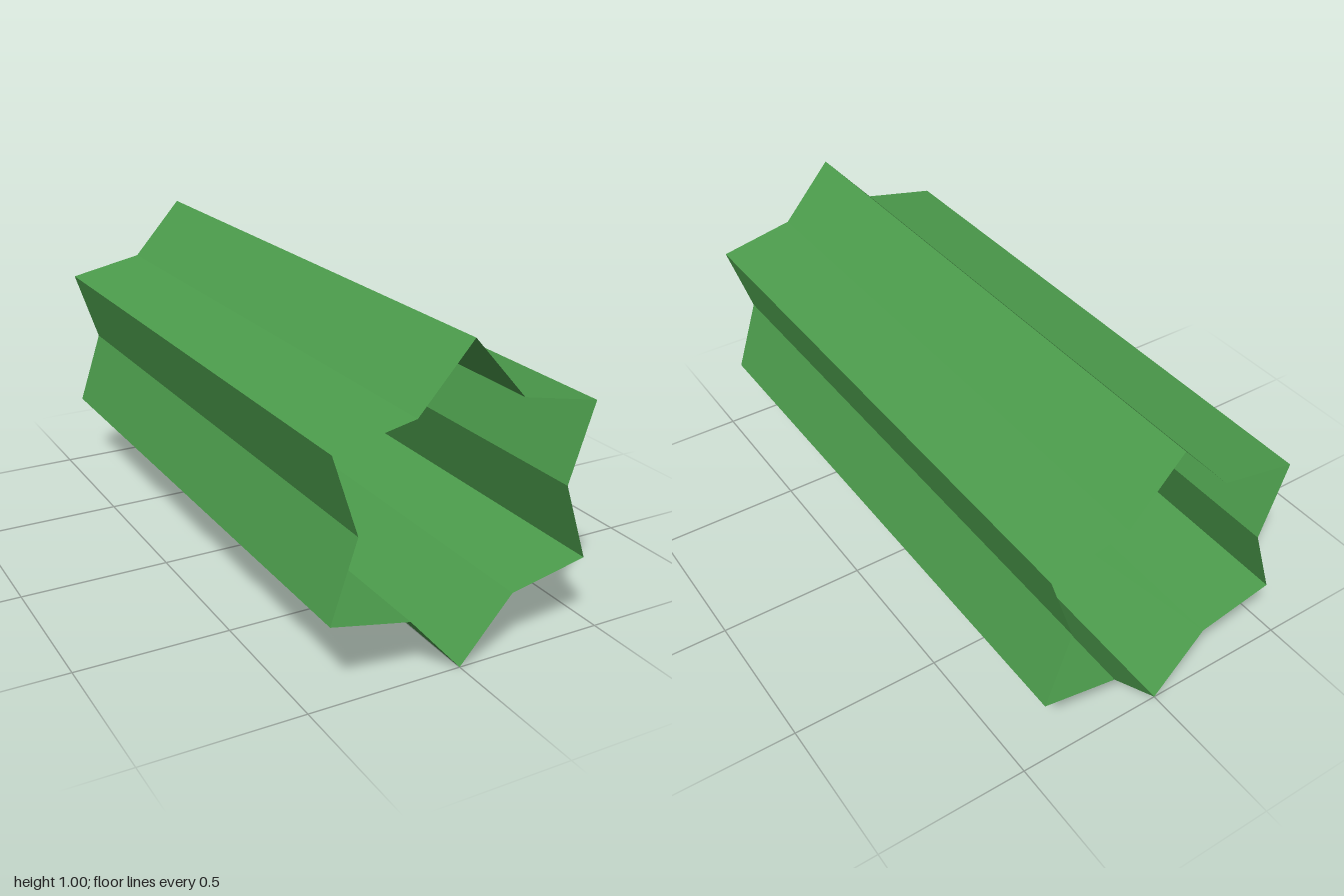
import * as THREE from 'three';

const POINTS = 6;
const TIP_RADIUS = 0.5;
const VALLEY_RADIUS = 0.35;
const LENGTH = 2;

// Open tube with a star cross-section: every second column is pulled inward.
function starTube() {
  const columns = POINTS * 2;
  const tube = new THREE.CylinderGeometry(TIP_RADIUS, TIP_RADIUS, LENGTH, columns, 1, true);
  const pos = tube.attributes.position;
  const shrink = VALLEY_RADIUS / TIP_RADIUS;
  for (let i = 0; i < pos.count; i++) {
    const column = i % (columns + 1);
    if (column % 2 === 1) {
      pos.setX(i, pos.getX(i) * shrink);
      pos.setZ(i, pos.getZ(i) * shrink);
    }
  }
  // Lay it along z and split the facets for crisp edges.
  tube.rotateX(Math.PI / 2);
  const faceted = tube.toNonIndexed();
  faceted.computeVertexNormals();
  return faceted;
}

export function createModel() {
  const green = new THREE.MeshStandardMaterial({
    color: 0x4c9c4c,
    flatShading: true,
    side: THREE.DoubleSide,
  });
  green.name = 'leaf green';

  const wall = new THREE.Mesh(starTube(), green);
  wall.name = 'starTubeWall';
  wall.position.y = TIP_RADIUS;

  const model = new THREE.Group();
  model.name = 'starTube';
  model.add(wall);
  return model;
}
